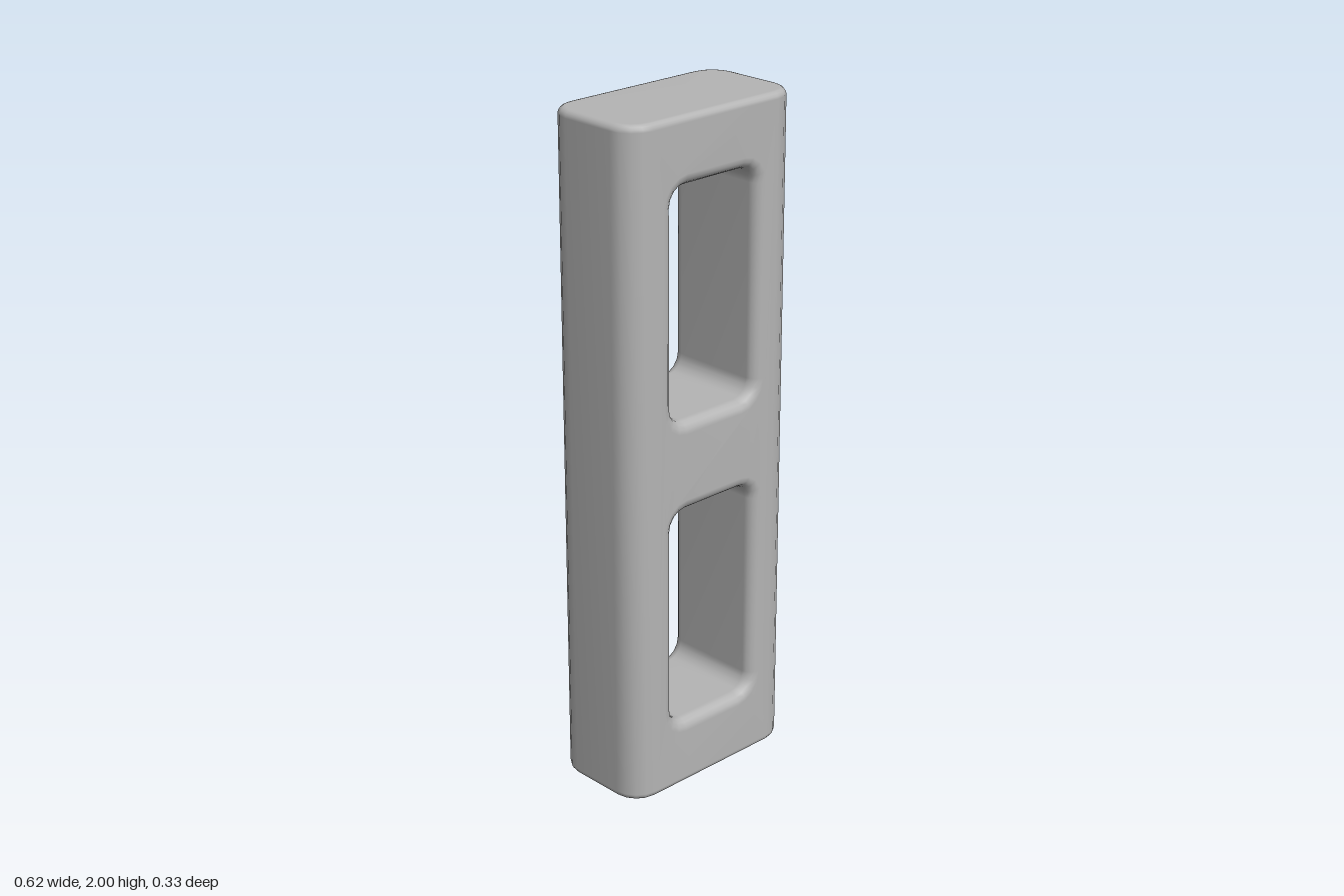
import * as THREE from 'three';
import { mergeGeometries, mergeVertices } from 'three/addons/utils/BufferGeometryUtils.js';

const W = 0.31, D = 0.165, H = 2;      // half width, half depth, height
const CORNER = 0.08, RIM = 0.02;       // vertical corner radius, top and bottom rounding
const FILLET = 0.035;                  // rounding around the openings
const SEG = 4, STEPS = 4;
const openings = [{ y: 0.5375, h: 0.3325 }, { y: 1.4725, h: 0.3345 }];
const HOLE_W = 0.156, HOLE_R = 0.05;

// Rounded rectangle as a counter-clockwise loop, SEG + 1 points per corner
function roundedLoop(hw, hh, r) {
  const pts = [];
  for (let k = 0; k < 4; k++) {
    const sx = k === 0 || k === 3 ? 1 : -1, sy = k < 2 ? 1 : -1;
    for (let i = 0; i <= SEG; i++) {
      const a = (k + i / SEG) * Math.PI / 2;
      pts.push(new THREE.Vector2(sx * (hw - r) + r * Math.cos(a), sy * (hh - r) + r * Math.sin(a)));
    }
  }
  return pts;
}

// Stations of a quarter-round at both ends of a length: [position, offset]
function stations(start, end, r) {
  const low = [], high = [];
  for (let i = 0; i <= STEPS; i++) {
    const a = i / STEPS * Math.PI / 2;
    const d = r * (1 - Math.cos(a)), off = r * (1 - Math.sin(a));
    low.push([start + d, off]);
    high.unshift([end - d, off]);
  }
  return [...low, ...high];
}

function fromPoints(points) {
  return new THREE.BufferGeometry().setFromPoints(points);
}

// Skin between successive rings; skip(i, j) leaves a gap
function loft(rings, skip = () => false) {
  const out = [];
  for (let i = 0; i < rings.length - 1; i++) {
    const n = rings[i].length;
    for (let j = 0; j < n; j++) {
      if (skip(i, j)) continue;
      const k = (j + 1) % n;
      const a = rings[i][j], b = rings[i][k], c = rings[i + 1][k], d = rings[i + 1][j];
      out.push(a, d, c, a, c, b);
    }
  }
  return fromPoints(out);
}

function cap(ring, y, up) {
  const out = [], centre = new THREE.Vector3(0, y, 0);
  ring.forEach((p, j) => {
    const q = ring[(j + 1) % ring.length];
    out.push(centre, up ? q : p, up ? p : q);
  });
  return fromPoints(out);
}

export function createModel() {
  const group = new THREE.Group();
  const grey = new THREE.MeshStandardMaterial({ color: 0xb4b4b4 });
  grey.name = 'plain grey';

  // Outer wall with rounded rims, left open at the flat front and back
  const rings = stations(0, H, RIM).map(([y, o]) =>
    roundedLoop(W - o, D - o, CORNER - o).map(p => new THREE.Vector3(p.x, y, p.y)));
  const flats = [SEG, 3 * SEG + 2];
  const parts = [
    loft(rings, (i, j) => i === STEPS && flats.includes(j)),
    cap(rings[0], 0, false),
    cap(rings[rings.length - 1], H, true),
  ];

  // Flat front and back panels with two openings
  const fx = W - CORNER;
  const panel = new THREE.Shape([
    new THREE.Vector2(-fx, RIM), new THREE.Vector2(fx, RIM),
    new THREE.Vector2(fx, H - RIM), new THREE.Vector2(-fx, H - RIM),
  ]);
  for (const { y, h } of openings) {
    const hole = o => roundedLoop(HOLE_W + o, h + o, HOLE_R + o);
    panel.holes.push(new THREE.Path(hole(FILLET).map(p => new THREE.Vector2(p.x, p.y + y))));
    // Inner walls of the opening, flaring into both panels
    parts.push(loft(stations(-D, D, FILLET).map(([z, o]) =>
      hole(o).map(p => new THREE.Vector3(p.x, p.y + y, z)))));
  }
  for (const turn of [0, Math.PI]) {
    const face = new THREE.ShapeGeometry(panel).toNonIndexed();
    face.deleteAttribute('uv');
    face.deleteAttribute('normal');
    parts.push(face.translate(0, 0, D).rotateY(turn));
  }

  // Weld the skin so the rounded edges shade smoothly
  const body = mergeVertices(mergeGeometries(parts), 1e-4);
  body.computeVertexNormals();
  const mesh = new THREE.Mesh(body, grey);
  mesh.name = 'blockWithTwoOpenings';
  group.add(mesh);
  return group;
}
